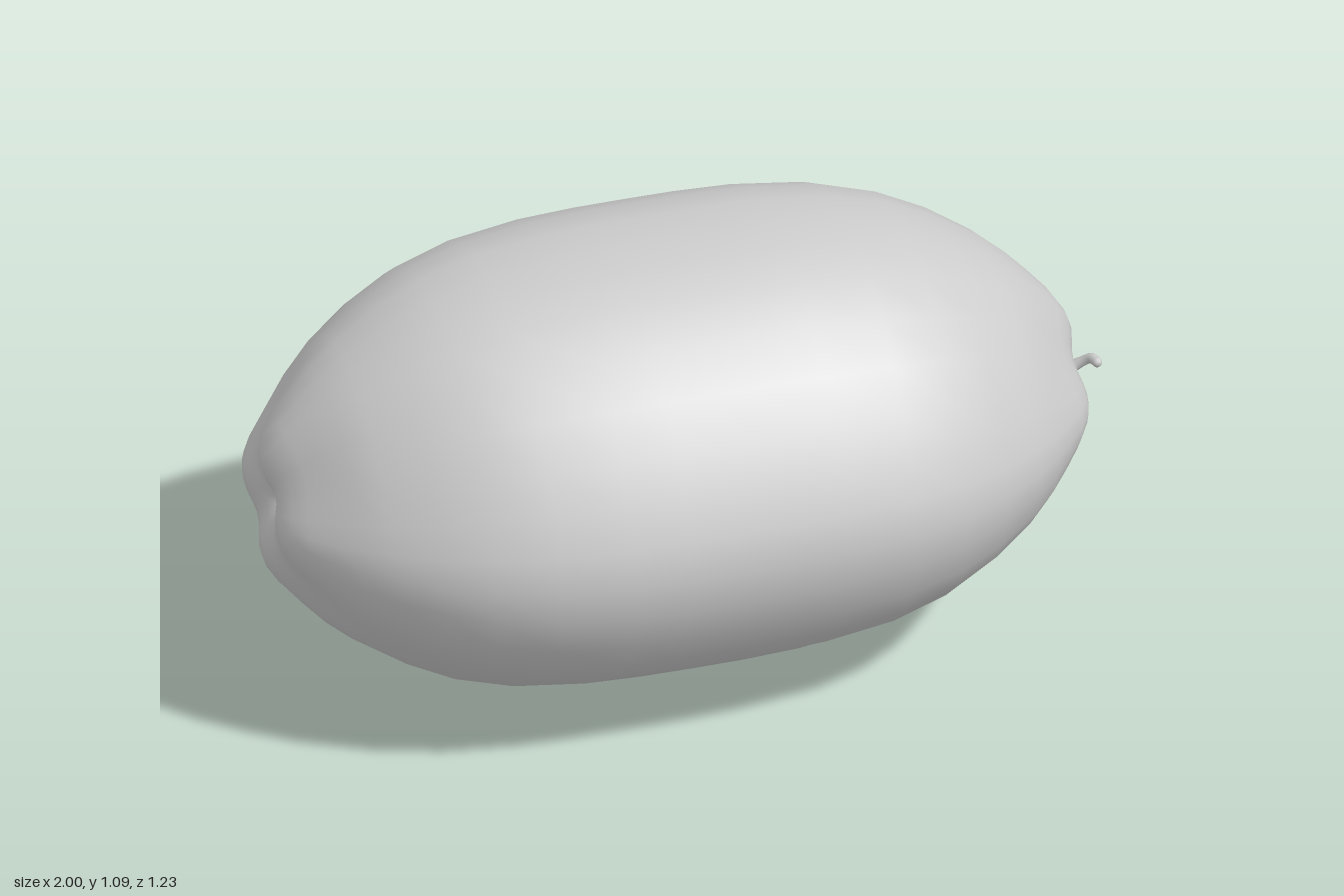
import * as THREE from 'three';

const material = new THREE.MeshStandardMaterial({ color: 0xcccccc, roughness: 0.8 });
const CENTER_X = -0.03, CENTER_Y = 0.56;

// Half of the widest cross-section, (z, y), from top to bottom; the other half is mirrored
const half = [
  [0, 1.095], [0.105, 1.094], [0.212, 1.065], [0.325, 1.005], [0.42, 0.927], [0.5, 0.83],
  [0.55, 0.74], [0.595, 0.65], [0.615, 0.56], [0.603, 0.47], [0.57, 0.375], [0.505, 0.285],
  [0.412, 0.2], [0.305, 0.128], [0.212, 0.062], [0.105, 0.02], [0, 0.002],
];
const section = [...half, ...half.slice(1, -1).reverse().map(([z, y]) => [-z, y])];

// Lengthwise profile of one end: distance from the middle, share of full girth
const end = [
  [0.905, 0], [0.925, 0.04], [0.95, 0.1], [0.965, 0.17], [0.966, 0.24], [0.953, 0.31],
  [0.925, 0.39], [0.88, 0.485], [0.83, 0.58], [0.77, 0.67], [0.67, 0.79], [0.56, 0.885],
  [0.425, 0.953], [0.255, 0.99], [0.12, 0.999],
];
const profile = [...end, [0, 1], ...end.map(([u, f]) => [-u, f]).reverse()];

function fruitGeometry() {
  const positions = [], indices = [], n = section.length;
  for (const [u, f] of profile) {
    for (const [z, y] of section) {
      // Four shallow diagonal grooves that fade out away from the ends
      const angle = Math.atan2(z, y - CENTER_Y);
      const groove = 0.5 - 0.5 * Math.cos(4 * angle);
      const pinch = 1 - 0.1 * groove * (1 - f);
      const dip = 0.02 * groove * Math.sin(Math.PI * Math.min(1, f / 0.65));
      positions.push(
        CENTER_X + u - Math.sign(u) * dip,
        CENTER_Y + (y - CENTER_Y) * f * pinch,
        z * f * pinch,
      );
    }
  }
  for (let i = 0; i < profile.length - 1; i++) {
    for (let j = 0; j < n; j++) {
      const a = i * n + j, b = i * n + (j + 1) % n;
      indices.push(a, a + n, b, b, a + n, b + n);
    }
  }
  const geometry = new THREE.BufferGeometry();
  geometry.setAttribute('position', new THREE.Float32BufferAttribute(positions, 3));
  geometry.setIndex(indices);
  geometry.computeVertexNormals();
  return geometry;
}

// Curled stalk, thick at the fruit and thinner at the tip, with a rounded end
function addStem(group) {
  const curve = new THREE.CatmullRomCurve3([
    [0.87, 0.56, 0], [0.93, 0.563, 0], [0.962, 0.58, 0.006],
    [0.982, 0.596, 0.022], [0.988, 0.598, 0.046],
  ].map((p) => new THREE.Vector3(...p)));
  const rings = 14, sides = 10;
  const geometry = new THREE.TubeGeometry(curve, rings, 1, sides, false);
  const pos = geometry.attributes.position, p = new THREE.Vector3();
  for (let i = 0; i <= rings; i++) {
    const c = curve.getPointAt(i / rings);
    const radius = THREE.MathUtils.lerp(0.023, 0.012, Math.min(1, i / rings * 1.5));
    for (let j = 0; j <= sides; j++) {
      const k = i * (sides + 1) + j;
      p.fromBufferAttribute(pos, k).sub(c).multiplyScalar(radius).add(c);
      pos.setXYZ(k, p.x, p.y, p.z);
    }
  }
  const stem = new THREE.Mesh(geometry, material);
  stem.name = 'stem';
  const tip = new THREE.Mesh(new THREE.SphereGeometry(0.012, 10, 6), material);
  tip.name = 'stemTip';
  tip.position.copy(curve.getPointAt(1));
  group.add(stem, tip);
}

export function createModel() {
  const group = new THREE.Group();
  group.name = 'melon';
  const fruit = new THREE.Mesh(fruitGeometry(), material);
  fruit.name = 'fruit';
  group.add(fruit);
  addStem(group);
  return group;
}
